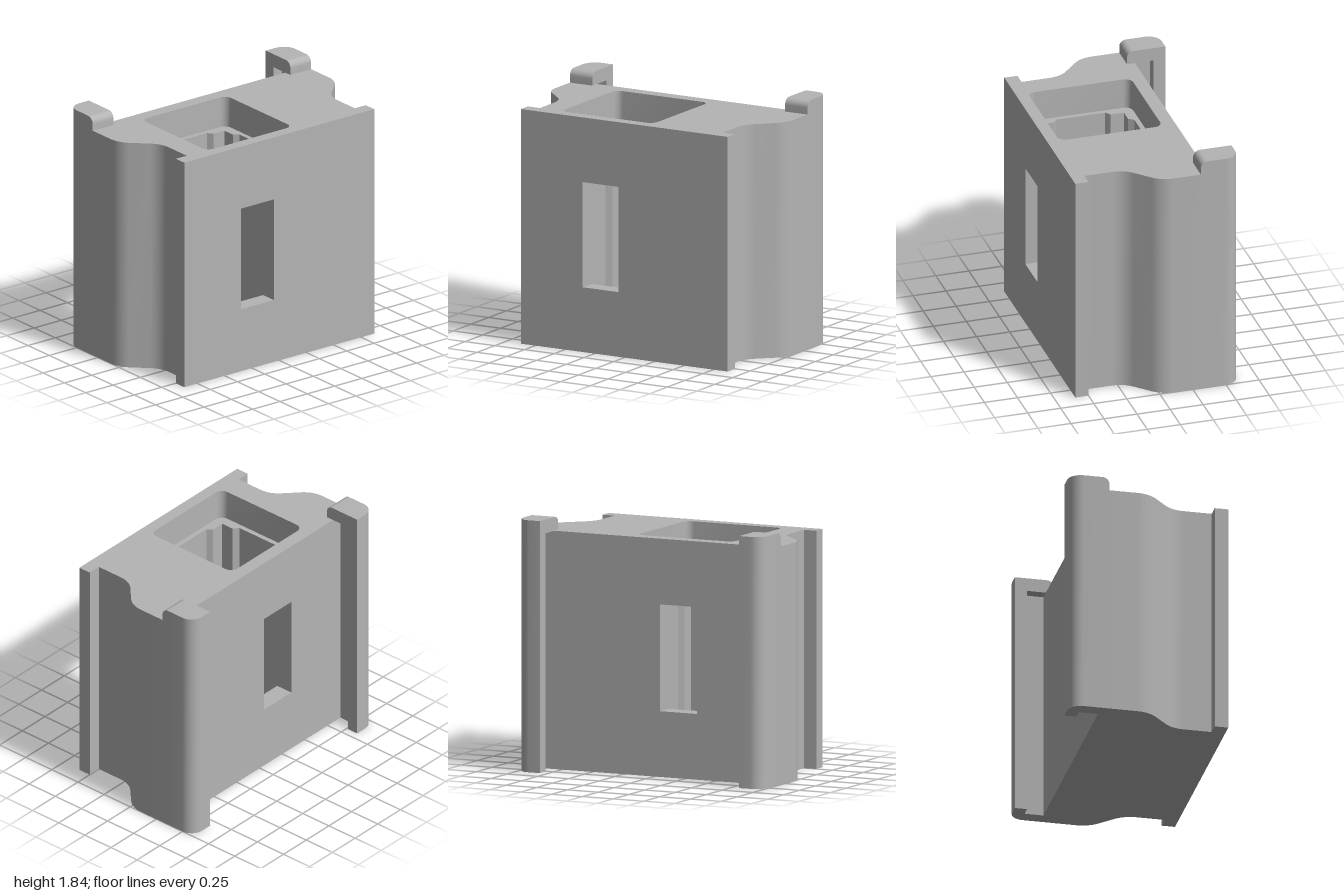
import * as THREE from 'three';
import { mergeGeometries, toCreasedNormals } from 'three/addons/utils/BufferGeometryUtils.js';

const TOP = 1.74, CAP = 1.84, LEDGE = 1.51, FLOOR = 0.1;
const ROUND = 0.05; // rounding on the front of each raised cap

// Points along an arc in plan (x, z), angles in degrees
function arc(cx, cz, r, from, to, n = 8) {
  return Array.from({ length: n + 1 }, (_, i) => {
    const a = THREE.MathUtils.degToRad(from + (to - from) * i / n);
    return [cx + r * Math.cos(a), cz + r * Math.sin(a)];
  });
}

const mirror = pts => pts.map(([x, ...rest]) => [-x, ...rest]).reverse();

// Ruled surface between two 3D polylines
function strip(a, b) {
  const pos = [];
  for (let i = 0; i + 1 < a.length; i++) {
    const same = a[i].every((v, k) => Math.abs(v - a[i + 1][k]) < 1e-6);
    if (same) continue;
    pos.push(...a[i], ...a[i + 1], ...b[i + 1], ...a[i], ...b[i + 1], ...b[i]);
  }
  const g = new THREE.BufferGeometry();
  g.setAttribute('position', new THREE.Float32BufferAttribute(pos, 3));
  g.computeVertexNormals();
  return g;
}

// Upright wall over plan points [x, z, own top height]
const wall = (pts, y0, y1) => strip(
  pts.map(([x, z]) => [x, y0, z]),
  pts.map(([x, z, t]) => [x, t ?? y1, z]));

// Flat face with holes, facing up, down, front or back
function flat(facing, level, outline, holes = []) {
  const map = {
    up: ([x, z]) => new THREE.Vector2(x, -z),
    down: ([x, z]) => new THREE.Vector2(x, z),
    front: ([x, y]) => new THREE.Vector2(x, y),
    back: ([x, y]) => new THREE.Vector2(-x, y),
  }[facing];
  const shape = new THREE.Shape(outline.map(map));
  shape.holes = holes.map(h => new THREE.Path(h.map(map)));
  const g = new THREE.ShapeGeometry(shape);
  if (facing === 'up') g.rotateX(-Math.PI / 2).translate(0, level, 0);
  if (facing === 'down') g.rotateX(Math.PI / 2).translate(0, level, 0);
  if (facing === 'front') g.translate(0, 0, level);
  if (facing === 'back') g.rotateY(Math.PI).translate(0, 0, level);
  g.deleteAttribute('uv');
  return g.toNonIndexed();
}

const rect = (x0, a0, x1, a1) => [[x0, a0], [x1, a0], [x1, a1], [x0, a1]];

export function createModel() {
  const grey = new THREE.MeshStandardMaterial({ color: 0xb4b4b4 });
  grey.name = 'grey';
  const model = new THREE.Group();
  const add = (name, parts) => {
    const mesh = new THREE.Mesh(toCreasedNormals(mergeGeometries(parts), 0.6), grey);
    mesh.name = name;
    model.add(mesh);
  };

  // Plan of the left flank, from the front flange to the rear hook
  const flank = [[0.87, 0.6], [0.87, 0.5], [0.77, 0.5],
    ...arc(0.97, 0.29, 0.2, 180, 225), ...arc(0.8, -0.1, 0.2, 45, 0)];
  const round = arc(0, 0, ROUND, 0, 90)
    .map(([dz, dy]) => [-0.31 - ROUND + dz, CAP - ROUND + dy]); // [z, y]
  const corner = arc(0.9, -0.5, 0.1, 0, -90);
  const side = [...flank, [1, -0.31],
    ...round.map(([z, y]) => [1, z, y]),
    ...corner.map(([x, z]) => [x, z, CAP]),
    [0.81, -0.6, CAP], [0.81, -0.51, CAP], [0.81, -0.51],
    [0.89, -0.51], [0.89, -0.37]];
  const topEdge = [...flank, [1, -0.31], [0.81, -0.31], [0.81, -0.37]];
  const clean = side.filter(([x, z], i) => i === 0 ||
    Math.hypot(x - side[i - 1][0], z - side[i - 1][1]) > 1e-6);

  // Pocket mouth, stepped shaft below it, and the window
  const mouth = [[0.13, 0.45, 0], [-0.53, 0.45, 90], [-0.53, -0.21, 180], [0.13, -0.21, 270]]
    .flatMap(([x, z, a]) => arc(x, z, 0.06, a, a + 90));
  const quarter = [[0.354, 0.185], [0.315, 0.215], [0.315, 0.315], [0.215, 0.315], [0.185, 0.354]];
  const quarters = [];
  for (let q = 0, pts = quarter; q < 4; q++, pts = pts.map(([x, z]) => [-z, x])) {
    quarters.push(pts.map(([x, z]) => [x - 0.2, z + 0.12]));
  }
  const shaft = quarters.flat();
  const opening = rect(-0.35, 0.48, -0.05, 1.26);

  add('body', [
    wall(side, 0, TOP),
    wall(mirror(side), 0, TOP),
    flat('front', 0.6, rect(-0.87, 0, 0.87, TOP), [opening]),
    flat('back', -0.37, rect(-0.89, 0, 0.89, TOP), [opening]),
    flat('up', TOP, [...topEdge, ...mirror(topEdge)], [mouth]),
    flat('down', 0, [...clean, ...mirror(clean)]),
  ]);

  // Raised caps closing the tops of the rear hooks
  const inner = [[0.81, -0.51, CAP], ...round.slice().reverse().map(([z, y]) => [0.81, z, y]),
    [1, -0.31, CAP - ROUND]];
  const lid = [[0.81, -0.31 - ROUND], [1, -0.31 - ROUND], ...corner, [0.81, -0.6]];
  const slot = rect(0.81, -0.51, 0.89, -0.37);
  for (const s of [1, -1]) {
    const flip = pts => s > 0 ? pts : mirror(pts);
    const [lo, hi] = s > 0 ? [0.81, 1] : [-1, -0.81];
    const curve = round.slice().reverse();
    add(s > 0 ? 'leftHookCap' : 'rightHookCap', [
      wall(flip(inner), TOP, CAP),
      strip(curve.map(([z, y]) => [lo, y, z]), curve.map(([z, y]) => [hi, y, z])),
      flat('up', CAP, flip(lid)),
      flat('down', TOP, flip(slot)),
    ]);
  }

  // Pocket with ledge and shaft
  const shaftFace = rect(-0.385, FLOOR, -0.015, LEDGE);
  add('pocket', [
    wall([...mouth, mouth[0]], LEDGE, TOP),
    flat('up', LEDGE, mouth, [shaft]),
    wall([...quarters[1], ...quarters[2]], FLOOR, LEDGE),
    wall([...quarters[3], ...quarters[0]], FLOOR, LEDGE),
    flat('back', 0.474, shaftFace, [opening]),
    flat('front', -0.234, shaftFace, [opening]),
    flat('up', FLOOR, shaft),
  ]);

  // Window linings through the front and back walls
  const loop = [...opening, opening[0]];
  const lining = (z1, z0) => strip(loop.map(([x, y]) => [x, y, z1]), loop.map(([x, y]) => [x, y, z0]));
  add('windowLining', [lining(0.6, 0.474), lining(-0.234, -0.37)]);

  return model;
}
